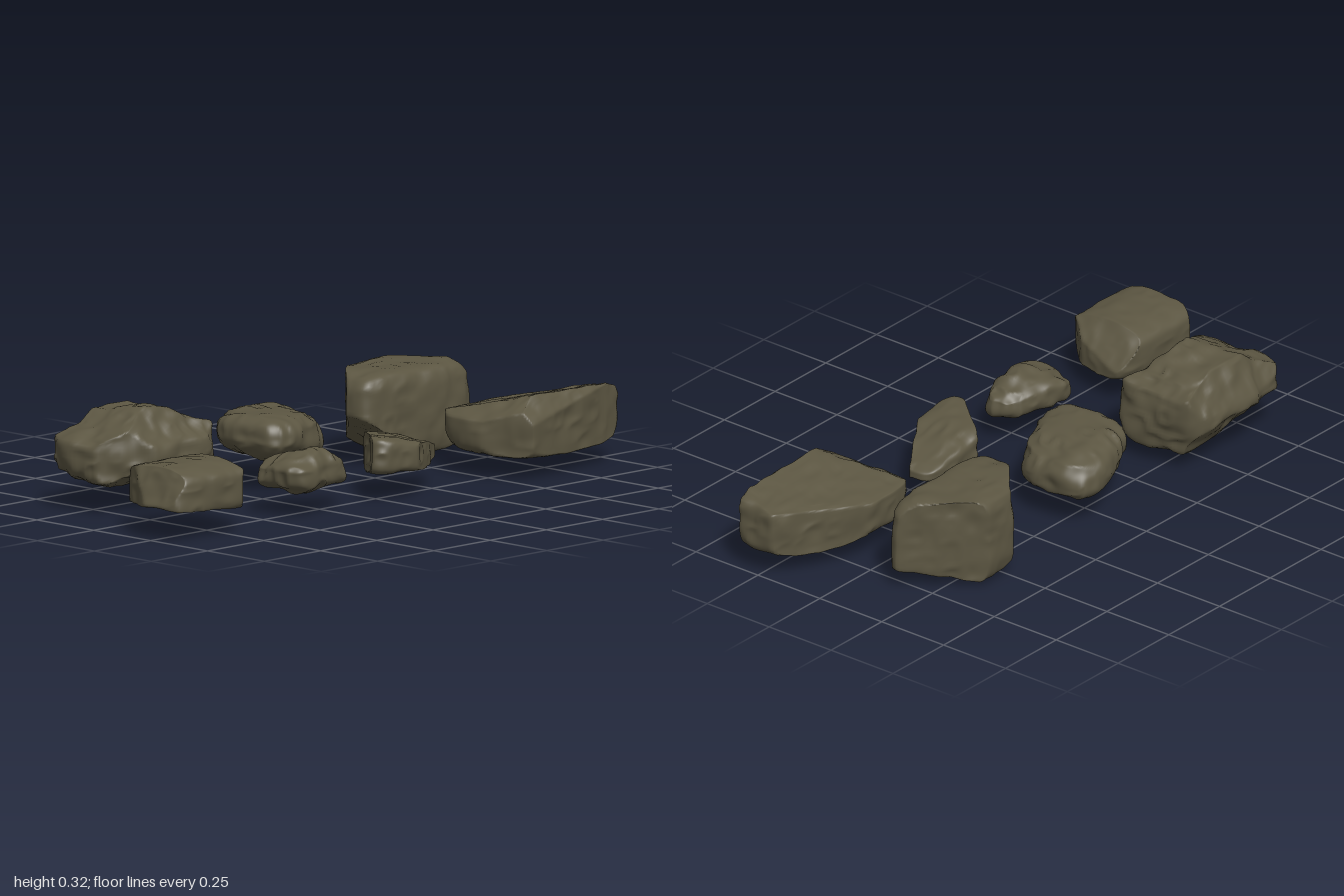
import * as THREE from 'three';
import { mergeVertices } from 'three/addons/utils/BufferGeometryUtils.js';

const stone = new THREE.MeshStandardMaterial({ color: 0x5c5642 });
stone.name = 'mossy brown stone';

// Repeatable smooth value noise in -1..1
const hash = (x, y, z) => {
  const s = Math.sin(x * 127.1 + y * 311.7 + z * 74.7) * 43758.5453;
  return (s - Math.floor(s)) * 2 - 1;
};
function noise(x, y, z) {
  const c = [x, y, z].map(Math.floor);
  const f = [x, y, z].map((v, i) => { const t = v - c[i]; return t * t * (3 - 2 * t); });
  let sum = 0;
  for (let k = 0; k < 8; k++) {
    const b = [k & 1, (k >> 1) & 1, k >> 2];
    const w = b.reduce((p, bit, i) => p * (bit ? f[i] : 1 - f[i]), 1);
    sum += w * hash(c[0] + b[0], c[1] + b[1], c[2] + b[2]);
  }
  return sum;
}

// Chips a flat facet off: facing the given angle in the plane of axes a and b
function chip(p, a, b, degrees, distance) {
  const angle = THREE.MathUtils.degToRad(degrees);
  const na = Math.cos(angle), nb = Math.sin(angle);
  const over = Math.max(0, p[a] * na + p[b] * nb - distance);
  p[a] -= na * over;
  p[b] -= nb * over;
}
const chipPlan = (p, degrees, distance) => chip(p, 'x', 'z', degrees, distance);
const chipFront = (p, degrees, distance) => chip(p, 'x', 'y', degrees, distance);
const chipSide = (p, degrees, distance) => chip(p, 'z', 'y', degrees, distance);

// Rounded unit block, shaped by a rule in -1..1 space, fitted to its bounds, then roughened
function makeRock(name, min, max, power, rough, shape) {
  const g = new THREE.BoxGeometry(2, 2, 2, 28, 28, 28);
  g.deleteAttribute('uv');
  g.deleteAttribute('normal');
  const rock = mergeVertices(g);
  const pos = rock.attributes.position;
  const low = new THREE.Vector3(...min), high = new THREE.Vector3(...max);
  const centre = low.clone().add(high).multiplyScalar(0.5);
  const half = high.sub(low).multiplyScalar(0.5);
  const p = new THREE.Vector3(), out = new THREE.Vector3();
  for (let i = 0; i < pos.count; i++) {
    p.fromBufferAttribute(pos, i);
    const size = p.toArray().reduce((s, v) => s + Math.abs(v) ** power, 0) ** (1 / power);
    p.divideScalar(size);
    out.copy(p).normalize();
    shape(p);
    p.multiply(half).add(centre);
    // Broad lumps plus finer ridges
    const n = 0.8 * noise(p.x * 11, p.y * 11, p.z * 11)
      + 0.7 * (0.3 - Math.abs(noise(p.x * 22, p.y * 22, p.z * 22)));
    p.addScaledVector(out, n * rough);
    pos.setXYZ(i, p.x, Math.max(0, p.y), p.z);
  }
  rock.computeVertexNormals();
  const mesh = new THREE.Mesh(rock, stone);
  mesh.name = name;
  return mesh;
}

export function createModel() {
  const group = new THREE.Group();
  group.name = 'rockSet';
  group.add(
    // Tall crown, underside rising to the left
    makeRock('backLeftBoulder', [-0.825, 0.025, -0.4], [-0.365, 0.325, -0.055], 5, 0.02, p => {
      chipSide(p, 39, 0.93);
      chipSide(p, 153, 0.91);
      chipSide(p, 99, 0.92);
      chipSide(p, 211, 0.93);
      chipSide(p, -37, 0.88);
      chipFront(p, 128, 0.85);
      chipFront(p, 63, 0.9);
      chipPlan(p, 136, 0.94);
      if (p.y < 0) p.y *= 0.75 + 0.25 * p.x;
    }),
    // Oval lying on a diagonal
    makeRock('backMiddleRock', [-0.215, 0.085, -0.355], [0.15, 0.24, 0], 2.8, 0.018, p => {
      p.z = p.z * 0.9 - p.x * 0.3;
      p.y = p.y * 0.95 - p.x * 0.2;
    }),
    // Wedge with a straight front, deepest right of centre
    makeRock('backRightBoulder', [0.308, 0.005, -0.36], [0.8, 0.298, -0.09], 6, 0.01, p => {
      chipPlan(p, 210, 0.72);
      chipPlan(p, -27, 0.62);
      chipFront(p, 223, 0.67);
      chipFront(p, -63, 0.97);
    }),
    // Low dome on a slanted block
    makeRock('frontLeftBoulder', [-1, 0.07, 0.08], [-0.6, 0.23, 0.37], 6, 0.008, p => {
      chipPlan(p, 202, 0.93);
      chipPlan(p, 9, 0.855);
      chipPlan(p, 29, 0.9);
      chipFront(p, 170, 0.89);
      chipFront(p, 18, 0.785);
      chipFront(p, 258, 0.79);
      if (p.y > 0) p.y *= 1 - 0.3 * p.z * p.z;
    }),
    // Craggy mound narrowing to the right
    makeRock('smallCraggyRock', [-0.44, 0.08, 0.12], [-0.16, 0.2, 0.36], 4, 0.02, p => {
      if (p.y > 0) p.y *= 1 - 0.6 * p.x * p.x - 0.3 * p.z * p.z;
      p.z *= 0.75 - 0.25 * p.x;
    }),
    // Diagonal sliver sloping down to the right
    makeRock('smallSlopingRock', [-0.06, 0.08, 0.1], [0.325, 0.2, 0.34], 5, 0.012, p => {
      chipPlan(p, 207, 0.615);
      chipPlan(p, 44, 0.56);
      p.y = (p.y + 1) * (0.8 - 0.38 * p.x) - 1;
    }),
    // Broad slab tapering to the right, its top falling to the back
    makeRock('frontRightBoulder', [0.472, 0.065, 0.045], [0.998, 0.26, 0.405], 6, 0.012, p => {
      chipPlan(p, -54, 0.715);
      chipPlan(p, 161, 0.978);
      chipPlan(p, 77, 0.78);
      chipSide(p, 112, 0.66);
      chipSide(p, 24, 0.95);
      chipFront(p, 146, 0.94);
    }),
  );
  return group;
}
